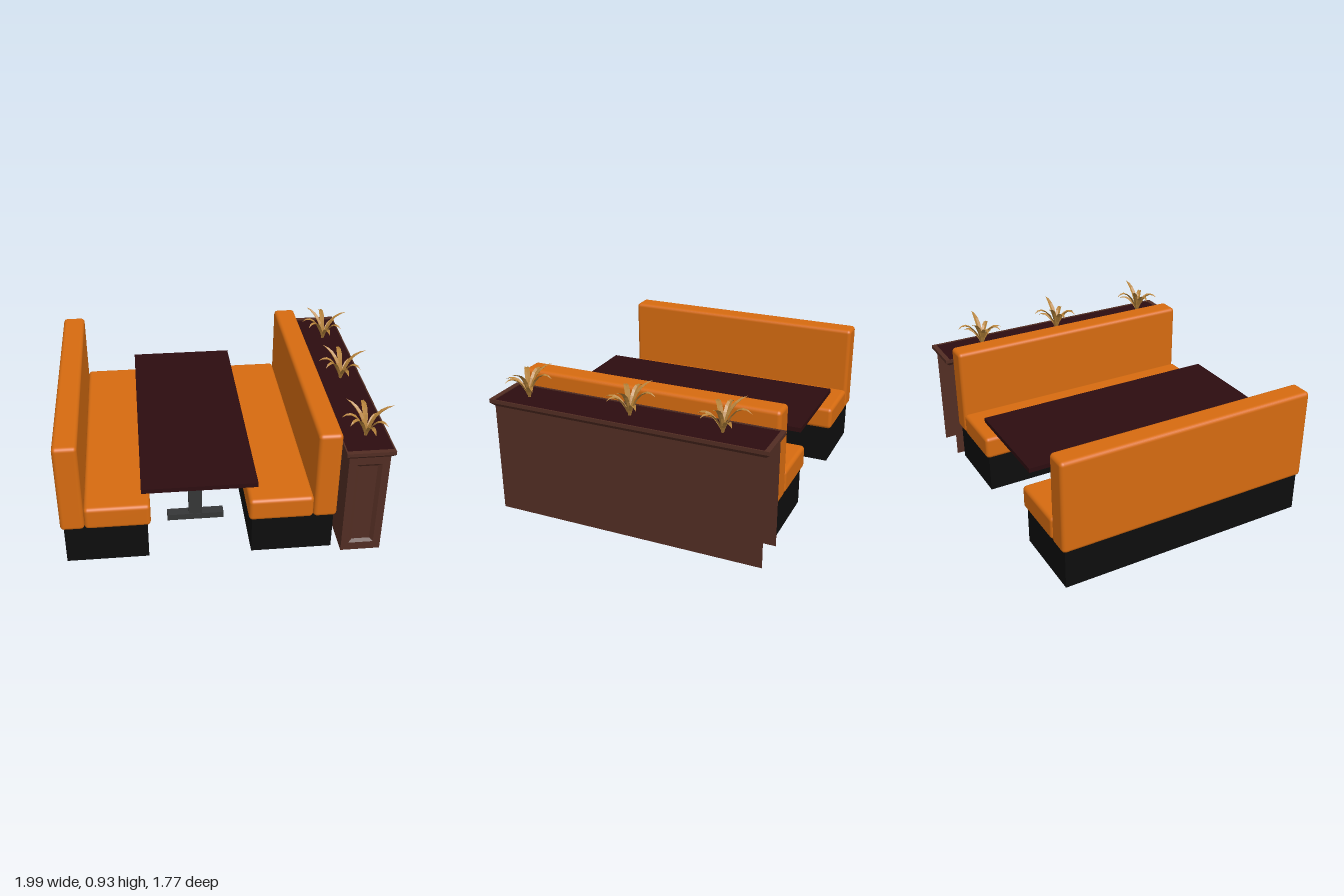
import * as THREE from 'three';
import { RoundedBoxGeometry } from 'three/addons/geometries/RoundedBoxGeometry.js';

const mat = (name, color, side = THREE.FrontSide) => {
  const m = new THREE.MeshStandardMaterial({ color, side });
  m.name = name;
  return m;
};

export function createModel() {
  const orange = mat('orangeVinyl', 0xd66b10);
  const black = mat('blackPlinth', 0x0d0d0d, THREE.DoubleSide);
  const metal = mat('greyMetal', 0x353637);
  const darkWood = mat('darkWood', 0x2d0d10, THREE.DoubleSide);
  const wood = mat('brownWood', 0x522d23, THREE.DoubleSide);
  const leafMat = mat('goldenLeaf', 0xb5823a, THREE.DoubleSide);

  const root = new THREE.Group();
  root.name = 'diningBooth';

  const group = (name) => {
    const g = new THREE.Group();
    g.name = name;
    root.add(g);
    return g;
  };
  const add = (parent, name, geo, material) => {
    const m = new THREE.Mesh(geo, material);
    m.name = name;
    parent.add(m);
    return m;
  };
  // Boxes are given by their limits on each axis
  const box = (parent, name, material, [x0, x1], [y0, y1], [z0, z1], r = 0) => {
    const s = [x1 - x0, y1 - y0, z1 - z0];
    const geo = r ? new RoundedBoxGeometry(...s, 3, r) : new THREE.BoxGeometry(...s);
    geo.translate((x0 + x1) / 2, (y0 + y1) / 2, (z0 + z1) / 2);
    return add(parent, name, geo, material);
  };
  // Joins rectangular rings [halfWidth, halfHeight, z] with flat faces
  const rings = (list) => {
    const pos = [];
    const corner = ([w, h, z], j) => [[-w, -h, z], [w, -h, z], [w, h, z], [-w, h, z]][j % 4];
    for (let i = 0; i < list.length - 1; i++) {
      for (let j = 0; j < 4; j++) {
        const a = corner(list[i], j), b = corner(list[i], j + 1);
        const c = corner(list[i + 1], j + 1), d = corner(list[i + 1], j);
        pos.push(...a, ...b, ...c, ...a, ...c, ...d);
      }
    }
    const geo = new THREE.BufferGeometry();
    geo.setAttribute('position', new THREE.Float32BufferAttribute(pos, 3));
    geo.computeVertexNormals();
    return geo;
  };

  // Benches: rounded cushions on a hollow plinth
  const bench = (name, back, seat, base, [z0, z1]) => {
    const g = group(name);
    box(g, 'backrest', orange, back, [0.25, 0.84], [z0, z1], 0.025);
    box(g, 'seat', orange, seat, [0.25, 0.4], [z0, z1], 0.025);
    const plinth = box(g, 'plinth', black, base, [0, 0.255], [z0 + 0.02, z1 - 0.02]);
    // Leave out the underside (faces 18 to 23 of the index)
    const idx = Array.from(plinth.geometry.index.array);
    idx.splice(18, 6);
    plinth.geometry.setIndex(idx);
    plinth.geometry.clearGroups();
  };
  bench('rightBench', [-1, -0.855], [-0.855, -0.46], [-0.98, -0.48], [-0.855, 0.815]);
  bench('leftBench', [0.523, 0.667], [0.13, 0.523], [0.15, 0.65], [-0.845, 0.83]);

  // Table on two pedestals
  const table = group('table');
  box(table, 'tableTop', darkWood, [-0.51, 0.18], [0.503, 0.532], [-0.825, 0.825]);
  for (const z of [-0.435, 0.435]) {
    box(table, 'tablePost', metal, [-0.21, -0.125], [0.04, 0.503], [z - 0.03, z + 0.03]);
    box(table, 'tableFoot', metal, [-0.35, 0.015], [0, 0.042], [z - 0.033, z + 0.033]);
  }

  // Planter divider: thin walls, open at the back and below
  const planter = group('planter');
  const cx = 0.825;
  for (const s of [-1, 1]) {
    const wall = add(planter, 'planterSide', new THREE.PlaneGeometry(1.72, 0.7), wood);
    wall.rotation.y = s * Math.PI / 2;
    wall.position.set(cx + s * 0.123, 0.35, 0);
  }
  const frame = add(planter, 'planterFrontFrame',
    rings([[0.123, 0.35, 0], [0.078, 0.295, 0], [0.055, 0.275, -0.015]]), wood);
  frame.position.set(cx, 0.35, 0.86);
  const panel = add(planter, 'planterFrontPanel', new THREE.PlaneGeometry(0.11, 0.55), wood);
  panel.position.set(cx, 0.35, 0.845);
  // Moulded rim around the top
  const rim = add(planter, 'planterRim', rings([
    [0.123, 0.86, 0.695], [0.145, 0.885, 0.72], [0.145, 0.885, 0.743],
    [0.137, 0.855, 0.743], [0.137, 0.855, 0.735],
  ]), wood);
  rim.rotation.x = -Math.PI / 2;
  rim.position.x = cx;
  const soil = add(planter, 'planterTop', new THREE.PlaneGeometry(0.274, 1.71), darkWood);
  soil.rotation.x = -Math.PI / 2;
  soil.position.set(cx, 0.737, 0);

  // Arching leaf with a folded cross-section, growing along +x
  const leaf = (reach, height) => {
    const tall = height > 0.16;
    const curve = new THREE.QuadraticBezierCurve(
      new THREE.Vector2(0.004, 0),
      new THREE.Vector2(reach * (tall ? 0.22 : 0.45), height * (tall ? 0.85 : 1.5)),
      new THREE.Vector2(reach, height));
    const n = 6, pos = [], index = [];
    for (let i = 0; i <= n; i++) {
      const t = i / n, p = curve.getPoint(t), d = curve.getTangent(t);
      const w = 0.016 * (0.55 + 1.6 * t) * (1 - t * t);
      const lift = w * 0.5;
      pos.push(p.x - d.y * lift, p.y + d.x * lift, -w, p.x, p.y, 0,
        p.x - d.y * lift, p.y + d.x * lift, w);
      if (i === n) break;
      for (const k of [0, 1]) {
        const a = i * 3 + k;
        index.push(a, a + 1, a + 4, a, a + 4, a + 3);
      }
    }
    let geo = new THREE.BufferGeometry();
    geo.setAttribute('position', new THREE.Float32BufferAttribute(pos, 3));
    geo.setIndex(index);
    geo = geo.toNonIndexed();
    geo.computeVertexNormals();
    return geo;
  };

  // Plants: each leaf is [sideways, forward, height]
  const leaves = [
    [0.16, -0.005, 0.195], [-0.155, -0.005, 0.13], [0, -0.17, 0.14], [0.015, 0.155, 0.095],
    [0.105, -0.095, 0.085], [-0.11, -0.105, 0.197], [-0.125, 0.095, 0.13], [0.105, 0.095, 0.11],
  ];
  for (const z of [-0.565, 0.01, 0.69]) {
    const plant = group('plant');
    plant.position.set(0.833, 0.737, z);
    for (const [dx, dz, h] of leaves) {
      add(plant, 'leaf', leaf(Math.hypot(dx, dz), h), leafMat).rotation.y = Math.atan2(-dz, dx);
    }
  }
  return root;
}
